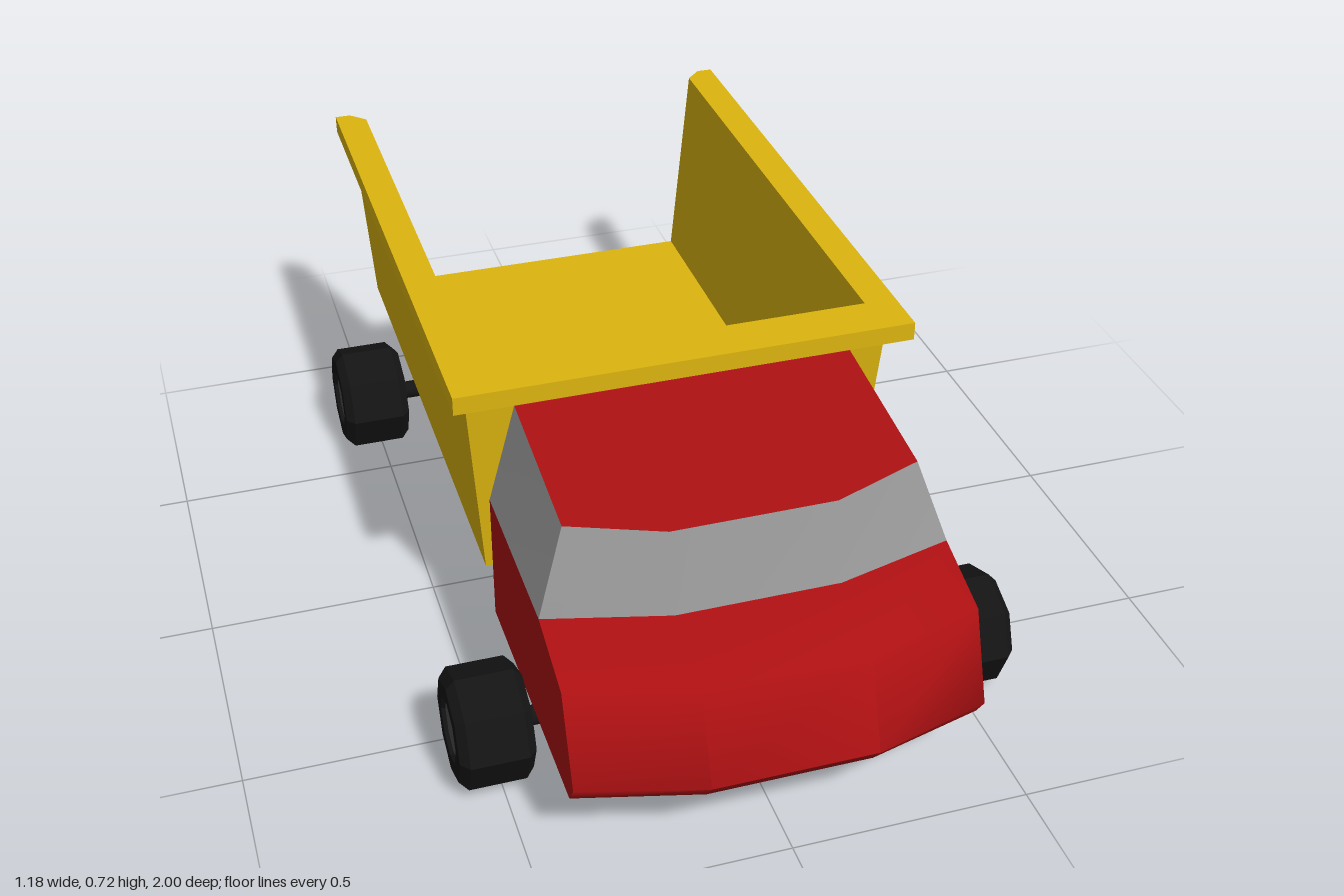
import * as THREE from 'three';
import { toCreasedNormals } from 'three/addons/utils/BufferGeometryUtils.js';

const paint = (color) => new THREE.MeshStandardMaterial({ color, side: THREE.DoubleSide });
const RED = paint(0xab1012), YELLOW = paint(0xdcb40f), GLASS = paint(0x9a9a9a);
const BLACK = paint(0x141414), HUB = paint(0x4c4c4c);

function mesh(name, geometry, material, parent) {
  const m = new THREE.Mesh(geometry, material);
  m.name = name;
  parent.add(m);
  return m;
}

// Flat-faced geometry from a list of convex polygons (arrays of corner points)
function fromPolygons(polygons, crease = 0.1) {
  const positions = [];
  for (const p of polygons)
    for (let i = 1; i < p.length - 1; i++) positions.push(...p[0], ...p[i], ...p[i + 1]);
  const g = new THREE.BufferGeometry();
  g.setAttribute('position', new THREE.Float32BufferAttribute(positions, 3));
  return toCreasedNormals(g, crease);
}

// Cab outline at one level: half width, z and y of back, corner and centre front
function ring(w, zCorner, zFront, yBack, yCorner, yFront) {
  const half = [[w, yBack, 0.3], [w, yCorner, zCorner], [0.17, yFront, zFront]];
  return [...half, ...half.map(([x, y, z]) => [-x, y, z]).reverse()];
}

// Side faces between stacked rings
function bands(rings) {
  const faces = [];
  for (let r = 0; r < rings.length - 1; r++) {
    const lo = rings[r], hi = rings[r + 1];
    lo.forEach((a, i) => {
      const j = (i + 1) % lo.length;
      faces.push([lo[j], a, hi[i], hi[j]]);
    });
  }
  return faces;
}

function createCab() {
  const cab = new THREE.Group();
  cab.name = 'cab';
  const bottom = ring(0.42, 0.9, 0.97, 0.145, 0.16, 0.165);
  const bumper = ring(0.42, 0.93, 1.0, 0.205, 0.205, 0.205);
  const hood = ring(0.42, 0.86, 0.93, 0.39, 0.39, 0.39);
  const belt = ring(0.42, 0.7, 0.765, 0.44, 0.44, 0.44);
  const roof = ring(0.36, 0.66, 0.725, 0.66, 0.618, 0.61);
  const crease = THREE.MathUtils.degToRad(56);
  mesh('cabBody', fromPolygons([bottom, ...bands([bottom, bumper, hood, belt])], crease), RED, cab);
  mesh('windows', fromPolygons(bands([belt, roof]), 0.5), GLASS, cab);
  mesh('roof', fromPolygons([[...roof].reverse()]), RED, cab);
  return cab;
}

function createBed() {
  const bed = new THREE.Group();
  bed.name = 'dumpBed';
  // Corners by side: outer/inner, bottom/top, front/back
  const corners = (s) => ({
    obf: [s * 0.422, 0.22, 0.235], obb: [s * 0.422, 0.22, -1],
    otf: [s * 0.458, 0.719, 0.268], otb: [s * 0.458, 0.719, -1],
    ibf: [s * 0.375, 0.25, 0.19], ibb: [s * 0.375, 0.25, -0.965],
    itf: [s * 0.42, 0.719, 0.225], itb: [s * 0.42, 0.719, -0.965],
  });
  const L = corners(1), R = corners(-1);
  const sides = (c) => [
    [c.obf, c.obb, c.otb, c.otf], // outer wall
    [c.ibb, c.ibf, c.itf, c.itb], // inner wall
    [c.obb, c.ibb, c.itb, c.otb], // bevelled rear end
  ];
  mesh('bedShell', fromPolygons([
    ...sides(L), ...sides(R).map((f) => f.reverse()),
    [R.obf, L.obf, L.otf, R.otf], // front wall
    [L.ibf, R.ibf, R.itf, L.itf], // front wall, inside
    [R.ibf, L.ibf, L.ibb, R.ibb], // floor
    [R.obb, L.obb, L.obf, R.obf], // underside
    [L.obb, R.obb, R.ibb, L.ibb], // rear sill
  ]), YELLOW, bed);

  // U-shaped rim, open at the rear
  const half = [[0.49, -0.33], [0.49, 1], [0.455, 1], [0.42, 0.965], [0.42, -0.225]];
  const outline = [...half, ...half.map(([x, y]) => [-x, y]).reverse()];
  const shape = new THREE.Shape(outline.map(([x, y]) => new THREE.Vector2(x, y)));
  const rim = new THREE.ExtrudeGeometry(shape, { depth: 0.04, bevelEnabled: false });
  rim.rotateX(-Math.PI / 2).translate(0, 0.68, 0);
  mesh('bedRim', rim, YELLOW, bed);
  return bed;
}

function createWheel(side, z) {
  const wheel = new THREE.Group();
  wheel.name = 'wheel';
  const lathe = (pts) => toCreasedNormals(
    new THREE.LatheGeometry(pts.map(([r, y]) => new THREE.Vector2(r, y)), 8), 0.1);
  mesh('tyre', lathe([[0, 0], [0.105, 0], [0.125, 0.018], [0.125, 0.137],
    [0.105, 0.155], [0.068, 0.155], [0.064, 0.147]]), BLACK, wheel);
  mesh('hub', lathe([[0.064, 0.147], [0, 0.147]]), HUB, wheel);
  wheel.rotation.z = -side * Math.PI / 2;
  wheel.position.set(side * 0.437, 0.125, z);
  return wheel;
}

export function createModel() {
  const truck = new THREE.Group();
  truck.name = 'dumpTruck';
  truck.add(createCab(), createBed());

  mesh('chassis', new THREE.BoxGeometry(0.4, 0.058, 1.25), BLACK, truck).position.set(0, 0.175, -0.325);

  // Axles and wheels
  for (const z of [0.61, -0.65]) {
    const housing = new THREE.CylinderGeometry(0.04, 0.04, 0.7, 12).rotateZ(Math.PI / 2);
    mesh('axleHousing', housing, BLACK, truck).position.set(0, 0.125, z);
    const shaft = new THREE.CylinderGeometry(0.021, 0.021, 0.9, 12).rotateZ(Math.PI / 2);
    mesh('axleShaft', shaft, BLACK, truck).position.set(0, 0.119, z);
    for (const side of [1, -1]) truck.add(createWheel(side, z));
  }
  return truck;
}
